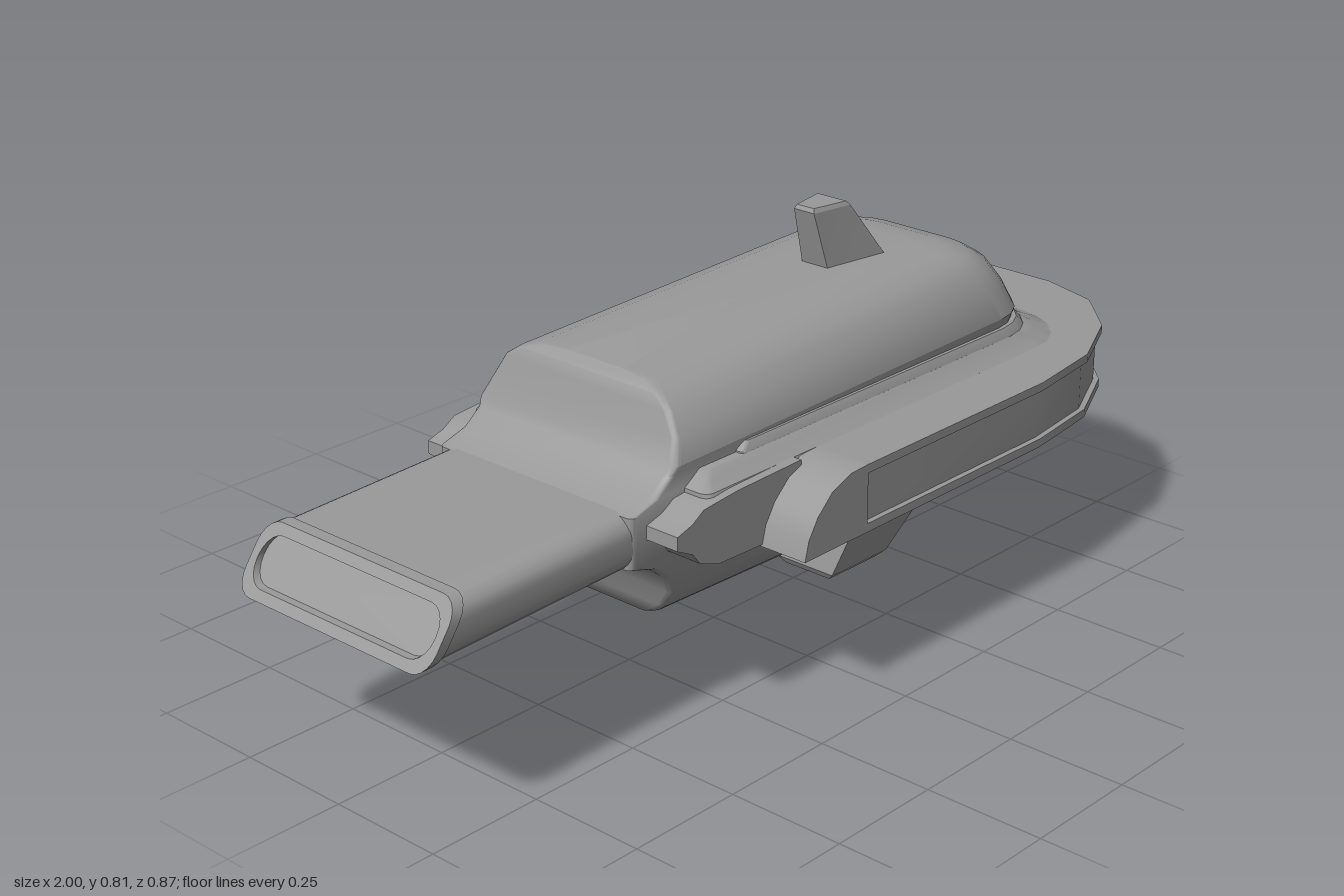
import * as THREE from 'three';
import { toCreasedNormals } from 'three/addons/utils/BufferGeometryUtils.js';

// Skin a stack of equal-length rings (low to high, counter-clockwise from above) and cap both ends
function loft(rings, crease = 0.6) {
  const n = rings[0].length, pos = rings.flat(2), idx = [];
  for (let j = 0; j < rings.length - 1; j++) {
    for (let i = 0; i < n; i++) {
      const k = (i + 1) % n;
      const a = j * n + i, b = j * n + k, c = b + n, d = a + n;
      idx.push(a, b, c, a, c, d);
    }
  }
  [0, rings.length - 1].forEach((j, top) => {
    const centre = pos.length / 3;
    for (let m = 0; m < 3; m++) pos.push(rings[j].reduce((s, p) => s + p[m], 0) / n);
    for (let i = 0; i < n; i++) {
      const a = j * n + i, b = j * n + (i + 1) % n;
      idx.push(centre, top ? a : b, top ? b : a);
    }
  });
  const g = new THREE.BufferGeometry();
  g.setAttribute('position', new THREE.Float32BufferAttribute(pos, 3));
  g.setIndex(idx);
  return toCreasedNormals(g, crease);
}

// Rounded rectangle ring in the xz plane, with its own front and rear corner radii
function plan(y, x0, x1, hw, rFront, rRear, steps = 5) {
  const pts = [];
  const corners = [[x1, 1, rFront, -1], [x1, -1, rFront, 0], [x0, -1, rRear, 1], [x0, 1, rRear, 2]];
  for (const [x, side, r, quarter] of corners) {
    const cx = x === x1 ? x - r : x + r;
    for (let i = 0; i <= steps; i++) {
      const a = (quarter + i / steps) * Math.PI / 2;
      pts.push([cx + r * Math.cos(a), y, side * (hw - r) - r * Math.sin(a)]);
    }
  }
  return pts;
}

// Side profile extruded across the full width
function sideSlab(points, hw) {
  const shape = new THREE.Shape(points.map(([x, y]) => new THREE.Vector2(x, y)));
  const g = new THREE.ExtrudeGeometry(shape, { depth: 2 * hw, bevelEnabled: false });
  g.translate(0, 0, -hw);
  return toCreasedNormals(g, 0.6);
}

// Swept fin with four corners per level: [y, rear x, front x, rear half width, front half width]
function fin(levels) {
  return loft(levels.map(([y, x0, x1, wr, wf]) =>
    [[x0, y, wr], [x1, y, wf], [x1, y, -wf], [x0, y, -wr]]), 0.3);
}

export function createModel() {
  const group = new THREE.Group();
  const grey = new THREE.MeshStandardMaterial({ color: 0x999999 });
  grey.name = 'hull grey';
  const add = (name, geometry) => {
    const mesh = new THREE.Mesh(geometry, grey);
    mesh.name = name;
    group.add(mesh);
  };

  // Main hull: horizontal layers [y, rear x, front x, half width, front radius], slimmer to the rear
  const layers = [
    [0.147, -0.30, 0.52, 0.05, 0.04], [0.158, -0.34, 0.60, 0.14, 0.08],
    [0.175, -0.352, 0.635, 0.17, 0.10], [0.20, -0.36, 0.665, 0.20, 0.12],
    [0.25, -0.375, 0.695, 0.235, 0.13], [0.30, -0.40, 0.705, 0.245, 0.13],
    [0.335, -0.44, 0.71, 0.25, 0.13], [0.355, -0.50, 0.71, 0.25, 0.13],
    [0.475, -0.50, 0.72, 0.255, 0.13], [0.495, -0.44, 0.72, 0.255, 0.13],
    [0.53, -0.40, 0.72, 0.255, 0.13], [0.55, -0.39, 0.725, 0.26, 0.13],
    [0.60, -0.368, 0.705, 0.243, 0.13], [0.65, -0.36, 0.672, 0.217, 0.12],
    [0.675, -0.352, 0.635, 0.185, 0.10], [0.688, -0.335, 0.59, 0.145, 0.08],
    [0.692, -0.33, 0.54, 0.08, 0.05],
  ];
  const taper = ([x, y, z]) => [x, 0.415 + (y - 0.415) * (1 - 0.11 * (0.58 - x) / 0.94), z];
  add('hull', loft(layers.map(([y, x0, x1, hw, r]) => plan(y, x0, x1, hw, r, 0.015).map(taper))));

  // Flared collar and the thin lip above it
  add('collar', loft([
    plan(0.47, -0.36, 0.82, 0.315, 0.16, 0.02), plan(0.485, -0.36, 0.81, 0.31, 0.16, 0.02),
    plan(0.498, -0.34, 0.775, 0.288, 0.15, 0.02), plan(0.512, -0.32, 0.75, 0.273, 0.14, 0.02),
  ]));
  add('collarLip', loft([
    plan(0.505, -0.22, 0.75, 0.275, 0.14, 0.01), plan(0.515, -0.22, 0.745, 0.272, 0.14, 0.01),
    plan(0.53, -0.2, 0.735, 0.263, 0.14, 0.01),
  ]));

  // Wide front skirt with a recessed side band between two rims
  const half = [[-0.05, 0.435], [0.5, 0.435], [0.69, 0.41], [0.85, 0.335], [0.96, 0.225], [1, 0.09]];
  const outline = [...half, ...half.map(([x, z]) => [x, -z]).reverse()];
  const skirtRing = (y, inset) => outline.map(([x, z]) => [
    x > 0.5 ? x - inset * (x - 0.5) * 2 : x, y, z * (1 - inset / 0.435)]);
  add('skirt', loft([
    skirtRing(0.345, 0), skirtRing(0.363, 0), skirtRing(0.363, 0.012),
    skirtRing(0.467, 0.012), skirtRing(0.467, 0), skirtRing(0.485, 0),
  ]));

  // Rounded rear end of the skirt
  add('skirtRear', sideSlab([
    [-0.23, 0.345], [-0.05, 0.345], [-0.05, 0.485], [-0.10, 0.483],
    [-0.155, 0.462], [-0.195, 0.425], [-0.22, 0.385],
  ], 0.435));

  // Shoulders joining the skirt to the tail
  add('shoulders', sideSlab([
    [-0.46, 0.415], [-0.42, 0.395], [-0.40, 0.37], [-0.35, 0.352], [-0.12, 0.346],
    [-0.12, 0.486], [-0.30, 0.482], [-0.39, 0.474], [-0.42, 0.455], [-0.46, 0.443],
  ], 0.33));

  // Flat tail with a slanted, rimmed opening; lofted along -x
  const tailRing = (level, grow, slant) => {
    const drop = 0.015 * (level - 0.42) / 0.58;
    return plan(level, 0.36 - drop - grow, 0.472 - drop - grow * -1, 0.25 + grow, 0.04, 0.04)
      .map(([x, y, z]) => [x, y - slant * (x - 0.345) * 0.72, z]);
  };
  const tail = loft([
    tailRing(0.42, 0, 0), tailRing(0.975, 0, 1), tailRing(0.975, 0.004, 1),
    tailRing(1, 0.004, 1), tailRing(1, -0.014, 1), tailRing(0.985, -0.014, 1),
  ]);
  tail.rotateZ(Math.PI / 2);
  add('tail', tail);

  // Upper and lower fins
  add('topFin', fin([
    [0.66, 0.31, 0.465, 0.035, 0.07], [0.805, 0.268, 0.362, 0.026, 0.042], [0.814, 0.272, 0.354, 0.022, 0.037],
  ]));
  add('bottomFin', fin([
    [0, 0.295, 0.445, 0.06, 0.062], [0.016, 0.285, 0.462, 0.076, 0.078], [0.17, 0.312, 0.56, 0.13, 0.13],
  ]));
  return group;
}
